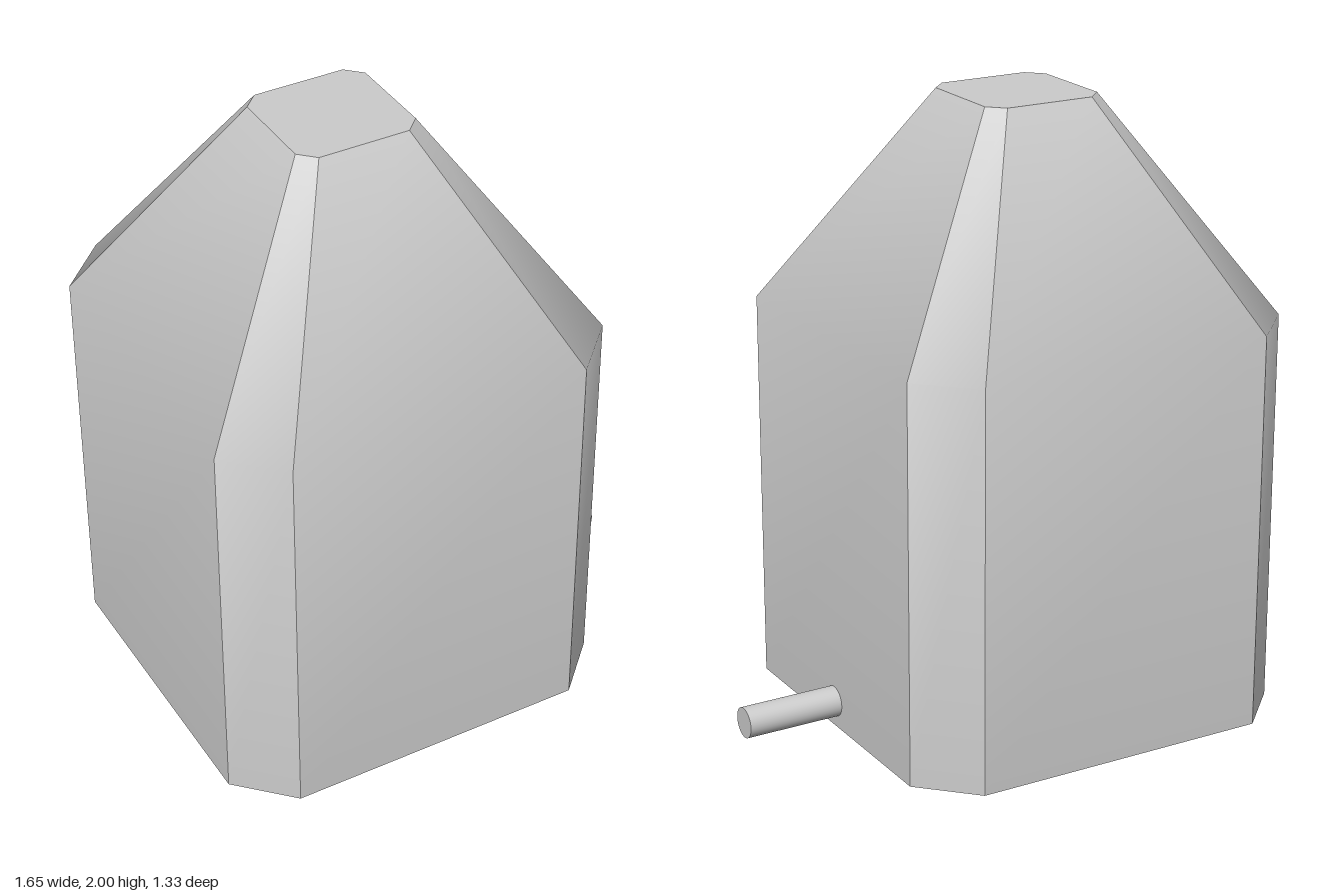
import * as THREE from 'three';

// Square ring with chamfered corners, counter-clockwise seen from above
function ring(half, flat, y) {
  return [
    [half, flat], [half, -flat], [flat, -half], [-flat, -half],
    [-half, -flat], [-half, flat], [-flat, half], [flat, half],
  ].map(([x, z]) => [x, y, z]);
}

// Eight panels, each smooth from wall to roof and sharp against its neighbours
function bodyGeometry(rings) {
  const pos = [], idx = [];
  const n = rings[0].length;
  for (let i = 0; i < n; i++) {
    const j = (i + 1) % n;
    const base = pos.length / 3;
    rings.forEach((r, k) => {
      pos.push(...r[i], ...r[j]);
      if (k === 0) return;
      const a = base + 2 * (k - 1);
      idx.push(a, a + 1, a + 3, a, a + 3, a + 2);
    });
  }
  // Flat bottom and top
  [rings[0], rings[rings.length - 1]].forEach((r, top) => {
    const base = pos.length / 3;
    r.forEach((p) => pos.push(...p));
    for (let i = 1; i < n - 1; i++) {
      if (top) idx.push(base, base + i, base + i + 1);
      else idx.push(base, base + i + 1, base + i);
    }
  });
  const g = new THREE.BufferGeometry();
  g.setAttribute('position', new THREE.Float32BufferAttribute(pos, 3));
  g.setIndex(idx);
  g.computeVertexNormals();
  return g;
}

export function createModel() {
  const model = new THREE.Group();
  const grey = new THREE.MeshStandardMaterial({ color: 0xcccccc });

  // Chamfered tower body with tapered roof
  const body = new THREE.Mesh(
    bodyGeometry([ring(0.665, 0.498, 0), ring(0.665, 0.498, 1.305), ring(0.2, 0.15, 2)]),
    grey
  );
  body.name = 'body';
  body.position.x = -0.16;
  model.add(body);

  // Outlet pipe low on the left side
  const pipe = new THREE.Mesh(new THREE.CylinderGeometry(0.05, 0.05, 0.32, 32), grey);
  pipe.name = 'outletPipe';
  pipe.rotation.z = -Math.PI / 2;
  pipe.position.set(0.665, 0.085, 0);
  model.add(pipe);

  return model;
}
